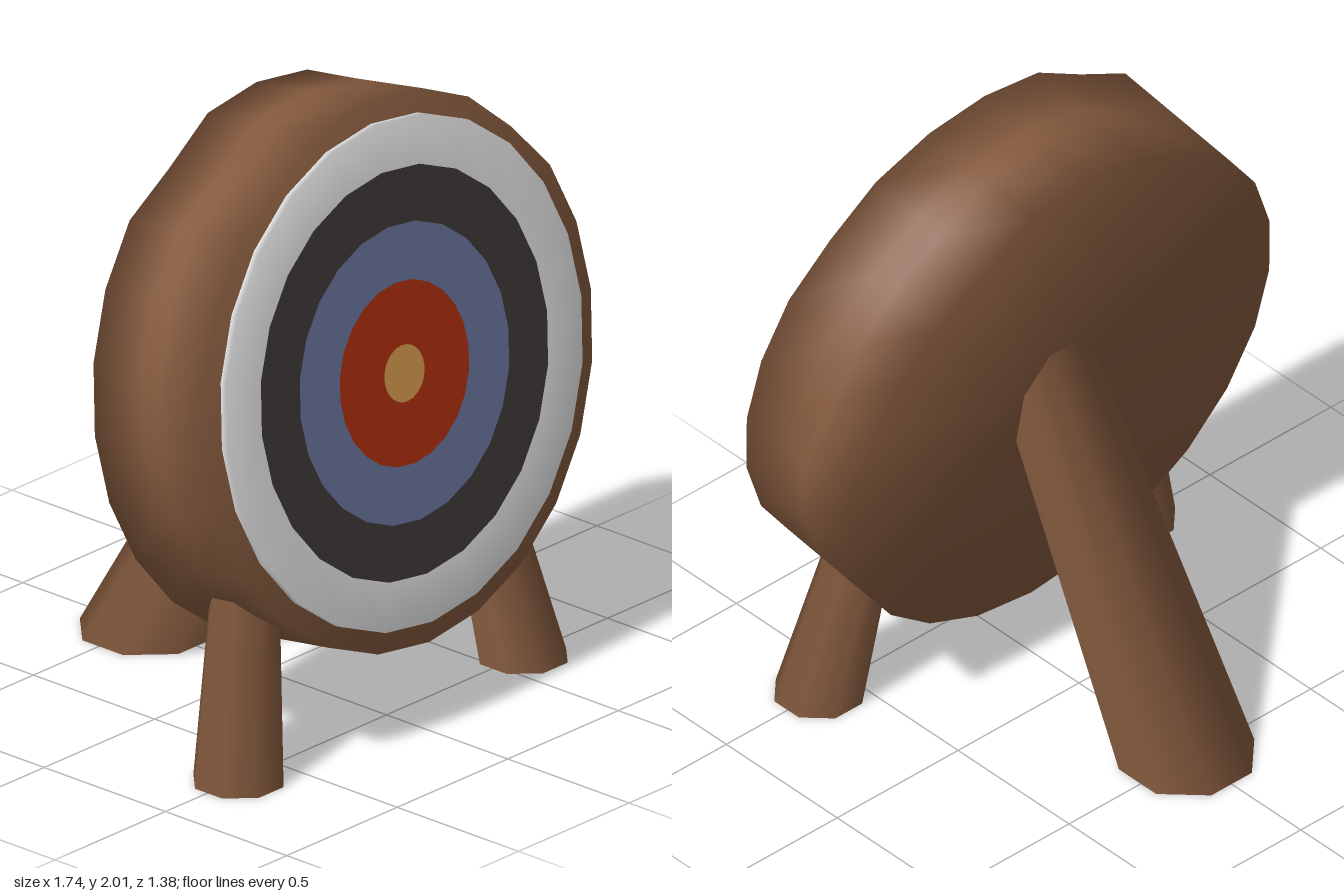
import * as THREE from 'three';
import { mergeVertices } from 'three/addons/utils/BufferGeometryUtils.js';

const mat = (name, color, side = THREE.FrontSide) => {
  const m = new THREE.MeshStandardMaterial({ color, side });
  m.name = name;
  return m;
};

const SEGMENTS = 24;
const HALF = 0.233; // half thickness of the log slice
const RADIUS = 0.869;

// Weld the seam and smooth everything over
function smooth(geo) {
  geo.deleteAttribute('normal');
  geo.deleteAttribute('uv');
  const g = mergeVertices(geo, 1e-4);
  g.computeVertexNormals();
  return g;
}

const lathe = (pts) => new THREE.LatheGeometry(pts.map(([r, y]) => new THREE.Vector2(r, y)), SEGMENTS);

// Log slice with a few chips out of its rim
function logGeometry() {
  const geo = lathe([[0, -HALF], [RADIUS, -HALF], [RADIUS, -0.03], [RADIUS, 0.04], [RADIUS, HALF], [0, HALF]]);
  const p = geo.attributes.position;
  for (let i = 0; i < p.count; i++) {
    const x = p.getX(i), y = p.getY(i), z = p.getZ(i);
    if (Math.hypot(x, z) < 0.1) continue;
    const deg = THREE.MathUtils.radToDeg(Math.atan2(-z, x));
    let cut = 0;
    if (Math.abs(deg - 120) < 2) cut = 0.035;             // notch, upper right side
    if (Math.abs(deg - 45) < 2) cut = 0.015;              // small nick
    if (y < 0 && deg > 10 && deg < 65) cut = 0.055;       // split-off piece at the back
    const k = 1 - cut / RADIUS;
    p.setXYZ(i, x * k, y, z * k);
  }
  return smooth(geo);
}

// Eight-sided leg: level cross-sections, leaning from foot to top
function legGeometry(foot, top, height, rFoot, rTop) {
  const c = Math.cos(Math.PI / 8); // radii are given across the flats
  const geo = new THREE.CylinderGeometry(rTop / c, rFoot / c, height, 8, 1);
  geo.rotateY(Math.PI / 8);
  geo.translate(0, height / 2, 0);
  const p = geo.attributes.position;
  for (let i = 0; i < p.count; i++) {
    const t = p.getY(i) / height;
    p.setX(i, p.getX(i) + foot[0] + (top[0] - foot[0]) * t);
    p.setZ(i, p.getZ(i) + foot[1] + (top[1] - foot[1]) * t);
  }
  return geo;
}

export function createModel() {
  const model = new THREE.Group();
  model.name = 'archeryTarget';

  const wood = mat('wood', 0x83593d);
  const white = mat('white', 0xececec);
  const charcoal = mat('charcoal', 0x413a3a);
  const blue = mat('blue', 0x6a769f);
  const red = mat('red', 0xb43011);
  const gold = mat('gold', 0xdba04f);

  const add = (parent, name, geo, material) => {
    const m = new THREE.Mesh(geo, material);
    m.name = name;
    parent.add(m);
    return m;
  };

  // Leaning head; its local +y is the shooting face
  const head = new THREE.Group();
  head.name = 'head';
  head.position.set(0, 1.12, 0.32);
  head.rotation.x = Math.PI / 2 - 0.145;
  model.add(head);
  add(head, 'logSlice', logGeometry(), wood);

  // Target face: white rim plate with flat rings inside
  const faceY = HALF + 0.024;
  add(head, 'whiteRing', lathe([[0.8, HALF - 0.005], [0.8, faceY], [0.645, faceY]]), white);
  const rings = [
    ['charcoalRing', 0.47, 0.645, charcoal],
    ['blueRing', 0.29, 0.47, blue],
    ['redRing', 0.09, 0.29, red],
    ['bullseye', 0, 0.09, gold],
  ];
  for (const [name, inner, outer, material] of rings) {
    const geo = inner > 0
      ? new THREE.RingGeometry(inner, outer, SEGMENTS)
      : new THREE.CircleGeometry(outer, SEGMENTS);
    geo.rotateX(-Math.PI / 2);
    geo.translate(0, faceY, 0);
    add(head, name, geo, material);
  }

  // Three legs
  add(model, 'frontRightLeg', legGeometry([-0.675, 0.505], [-0.535, 0.41], 0.66, 0.135, 0.098), wood);
  add(model, 'frontLeftLeg', legGeometry([0.612, 0.505], [0.495, 0.41], 0.66, 0.134, 0.094), wood);
  add(model, 'backLeg', legGeometry([0, -0.485], [0, 0.24], 1.3, 0.203, 0.143), wood);

  return model;
}
